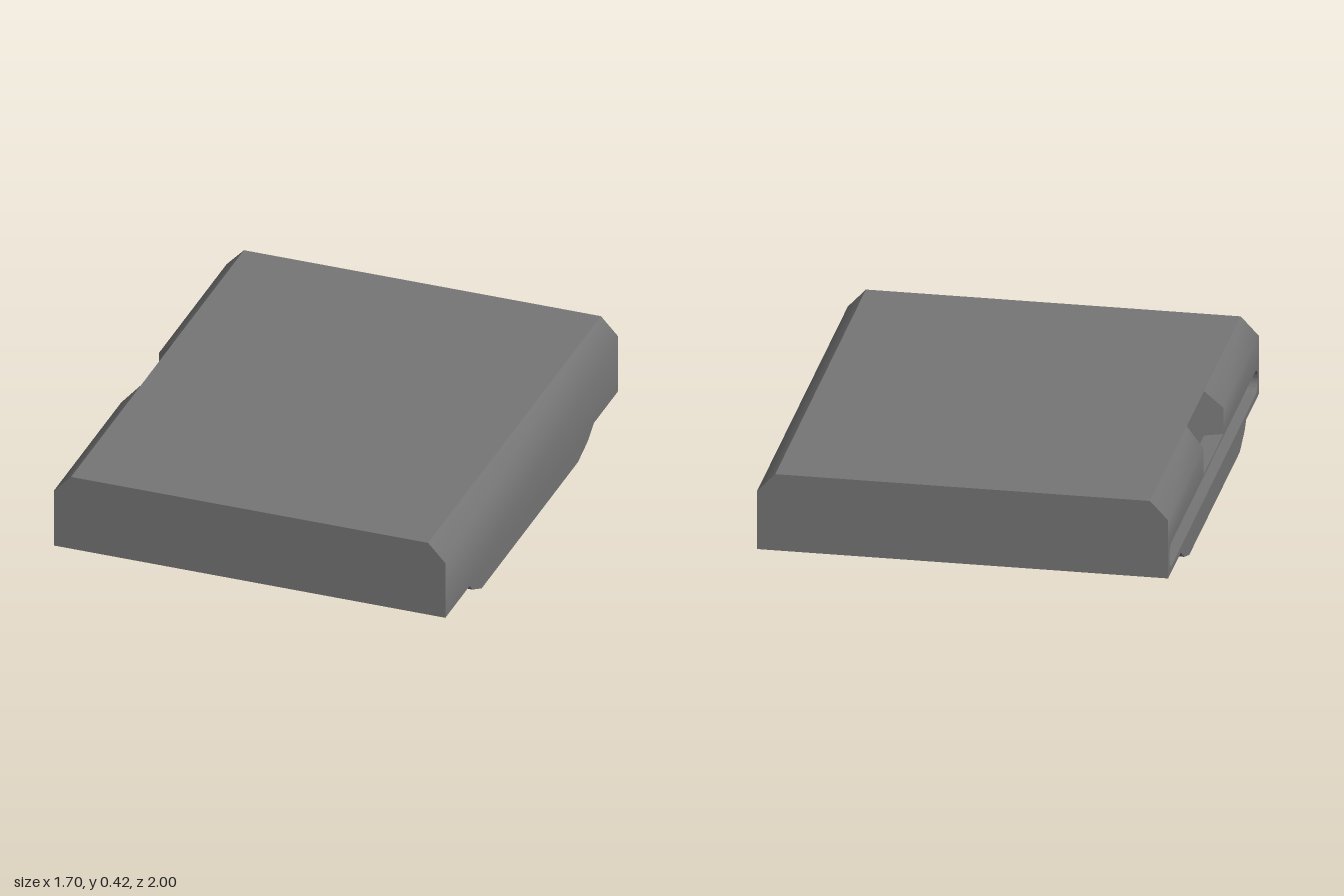
import * as THREE from 'three';
import { mergeGeometries, toCreasedNormals } from 'three/addons/utils/BufferGeometryUtils.js';

const W = 0.85, IN = 0.775;             // half width, half width of the flat top
const Y0 = 0.085, Y1 = 0.34, Y2 = 0.42; // underside, chamfer start, top
const NOTCH = 0.22, NOTCH_IN = 0.19;    // notch half length, outside and inside
const LEDGE = 0.225, SLOT_IN = 0.72;    // notch floor height, x of the slot's back
const CREASE = Math.PI / 4;             // softens chamfer to side, keeps the top edge sharp

const material = new THREE.MeshStandardMaterial({ color: 0x757575 });

function part(name, geometry) {
  const mesh = new THREE.Mesh(toCreasedNormals(geometry, CREASE), material);
  mesh.name = name;
  return mesh;
}

const polygon = (pts) => new THREE.Shape(pts.map(([a, b]) => new THREE.Vector2(a, b)));

// Extrude an (x, y) outline from z0 to z1
function alongZ(shape, z0, z1) {
  return new THREE.ExtrudeGeometry(shape, { depth: z1 - z0, bevelEnabled: false }).translate(0, 0, z0);
}

// Extrude a (z, y) outline from x0 to x1
function alongX(shape, x0, x1) {
  return new THREE.ExtrudeGeometry(shape, { depth: x1 - x0, bevelEnabled: false, curveSegments: 10 })
    .rotateY(-Math.PI / 2).translate(x1, 0, 0);
}

// Slant the notch ends so the notch narrows inwards
function taperNotch(geometry) {
  const p = geometry.attributes.position;
  for (let i = 0; i < p.count; i++) {
    const z = p.getZ(i);
    if (Math.abs(Math.abs(z) - NOTCH) < 1e-4 && p.getX(i) > -IN - 1e-4) p.setZ(i, Math.sign(z) * NOTCH_IN);
  }
  return geometry;
}

export function createModel() {
  const model = new THREE.Group();
  model.name = 'cartridge';

  // Main block with the chamfered plain side
  model.add(part('mainBlock', alongZ(polygon([
    [-SLOT_IN, Y0], [W, Y0], [W, Y1], [IN, Y2], [-IN, Y2], [-IN, LEDGE], [-SLOT_IN, LEDGE],
  ]), -1, 1)));

  // Lower side wall with a deep, long round-ended slot
  const wall = polygon([
    [-1, Y0], [1, Y0], [1, LEDGE], [NOTCH, LEDGE], [-NOTCH, LEDGE], [-1, LEDGE],
  ]);
  const bottom = 0.11, top = 0.215, r = (top - bottom) / 2, mid = bottom + r, end = 0.975 - r;
  const slot = new THREE.Path();
  slot.absarc(end, mid, r, Math.PI / 2, -Math.PI / 2, true);
  slot.absarc(-end, mid, r, -Math.PI / 2, -Math.PI * 1.5, true);
  wall.holes.push(slot);

  // Upper side wall with its chamfer, in front of and behind the notch
  const upper = polygon([[-W, LEDGE], [-IN, LEDGE], [-IN, Y2], [-W, Y1]]);
  model.add(part('slottedSideWall', mergeGeometries([
    alongX(wall, -W, -SLOT_IN),
    taperNotch(alongZ(upper, NOTCH, 1)),
    taperNotch(alongZ(upper, -1, -NOTCH)),
  ])));

  // Raised underside with sloped front and back
  model.add(part('undersideBulge', alongX(polygon([
    [-0.72, Y0], [-0.645, 0.036], [-0.535, 0], [0.58, 0], [0.685, 0.05], [0.72, Y0],
  ]), -W, W)));

  return model;
}
